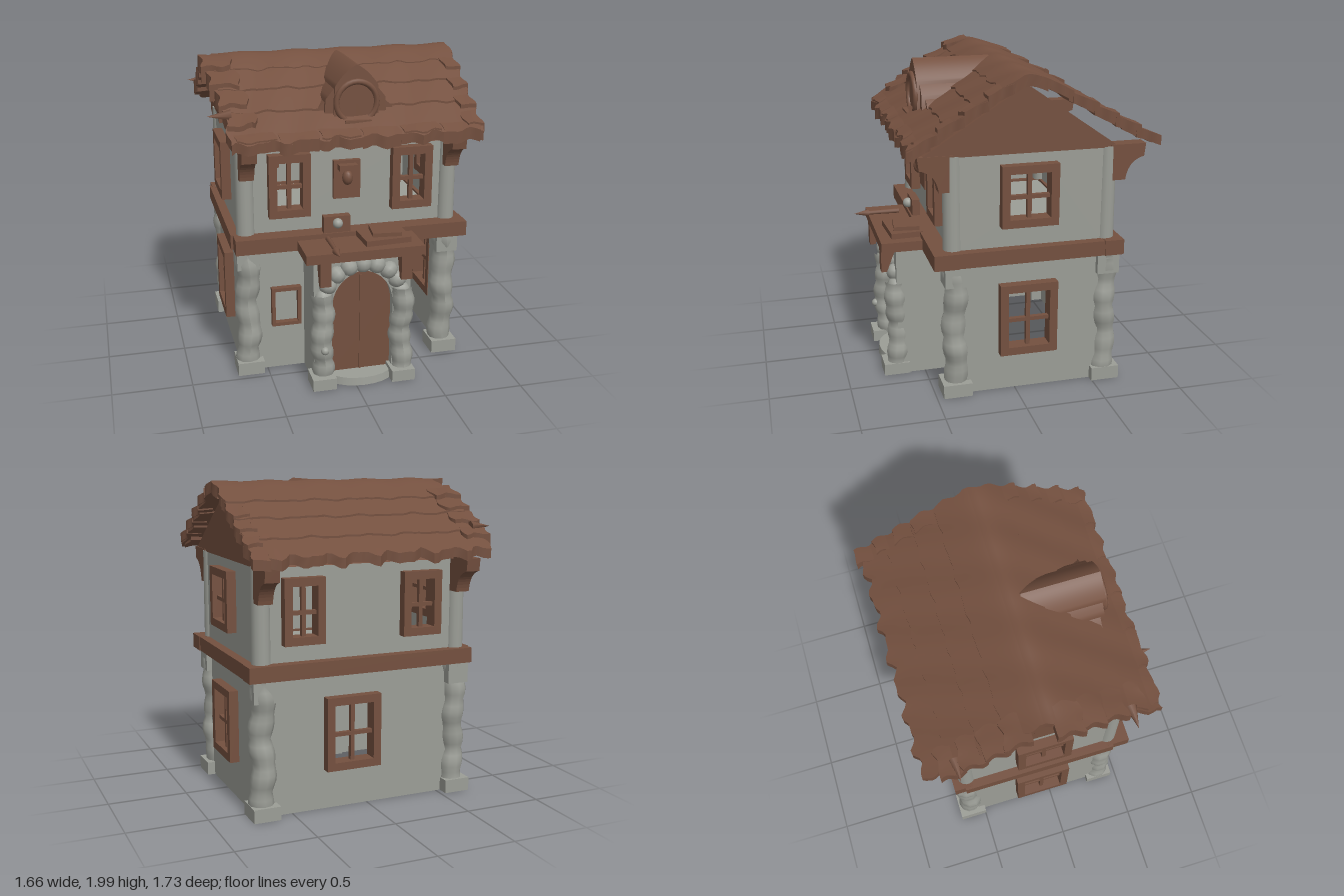
import * as THREE from 'three';
import { toCreasedNormals } from 'three/addons/utils/BufferGeometryUtils.js';

const wood = new THREE.MeshStandardMaterial({ color: 0x74503f });
wood.name = 'brown wood';
const stone = new THREE.MeshStandardMaterial({ color: 0x9b9d96 });
stone.name = 'grey stone';

const CX = 0.03, CZ = -0.09;      // centre of the house body
const RIDGE = -0.06;              // z of the roof ridge

export function createModel() {
  const model = new THREE.Group();
  model.name = 'house';

  function add(name, geo, mat, x = 0, y = 0, z = 0, parent = model) {
    const m = new THREE.Mesh(geo, mat);
    m.name = name;
    m.position.set(x, y, z);
    parent.add(m);
    return m;
  }
  const box = (name, mat, x0, x1, y0, y1, z0, z1) =>
    add(name, new THREE.BoxGeometry(x1 - x0, y1 - y0, z1 - z0), mat, (x0 + x1) / 2, (y0 + y1) / 2, (z0 + z1) / 2);
  const rect = (P, x, y, w, h) => {
    const p = new P();
    p.moveTo(x - w / 2, y - h / 2);
    p.lineTo(x + w / 2, y - h / 2);
    p.lineTo(x + w / 2, y + h / 2);
    p.lineTo(x - w / 2, y + h / 2);
    p.closePath();
    return p;
  };
  const extrude = (shape, depth) => new THREE.ExtrudeGeometry(shape, { depth, bevelEnabled: false, curveSegments: 10 });

  // Framed window with cross bars, facing local +z
  function windowUnit(parent, x, y, w, h) {
    const g = new THREE.Group();
    g.name = 'window';
    g.position.set(x, y, 0);
    const s = rect(THREE.Shape, 0, 0, w, h);
    s.holes.push(rect(THREE.Path, 0, 0, w - 0.1, h - 0.1));
    add('windowFrame', extrude(s, 0.095), wood, 0, 0, -0.035, g);
    add('windowBarUpright', new THREE.BoxGeometry(0.026, h - 0.08, 0.03), wood, 0, 0, 0.015, g);
    add('windowBarCross', new THREE.BoxGeometry(w - 0.08, 0.024, 0.03), wood, 0, -0.01, 0.015, g);
    parent.add(g);
  }
  // Wall panel with window openings; its outer face is local z = 0
  function wall(name, x, y, z, turn, w, h, windows = []) {
    const g = new THREE.Group();
    g.name = name;
    g.position.set(x, y, z);
    g.rotation.y = turn;
    const s = rect(THREE.Shape, 0, h / 2, w, h);
    for (const [wx, wy, ww, wh] of windows) {
      s.holes.push(rect(THREE.Path, wx, wy, ww - 0.08, wh - 0.08));
      windowUnit(g, wx, wy, ww, wh);
    }
    add(name + 'Panel', extrude(s, 0.03), stone, 0, 0, -0.03, g);
    model.add(g);
  }

  const Q = Math.PI / 2, small = [0.26, 0.4];
  // Upper storey
  const upPair = [[-0.38, 0.31, ...small], [0.4, 0.31, ...small]];
  wall('upperFrontWall', CX, 0.94, 0.4, 0, 1.26, 0.6, upPair);
  wall('upperBackWall', CX, 0.94, -0.6, Math.PI, 1.26, 0.6, [[-0.4, 0.31, ...small], [0.38, 0.31, ...small]]);
  // Lower storey, open to the front on one side of the door
  wall('lowerBackWall', CX, 0, -0.6, Math.PI, 1.26, 0.86, [[-0.08, 0.48, 0.36, 0.46]]);
  wall('lowerFrontWall', -0.41, 0, 0.39, 0, 0.36, 0.86);
  for (const s of [1, -1]) {
    const x = CX + s * 0.69;
    wall('upperSideWall', x, 0.94, CZ, s * Q, 0.9, 0.6, [[s * -0.015, 0.325, 0.35, 0.38]]);
    wall('lowerSideWall', x, 0, CZ, s * Q, 0.9, 0.86, [[s * -0.015, 0.48, 0.36, 0.46]]);
  }

  // Small framed pane beside the door
  const pane = rect(THREE.Shape, -0.375, 0.44, 0.19, 0.26);
  pane.holes.push(rect(THREE.Path, -0.375, 0.44, 0.145, 0.215));
  add('noticeFrame', extrude(pane, 0.06), wood, 0, 0, 0.37);

  // Timber band and floor between the storeys
  box('timberBandFront', wood, -0.7, 0.785, 0.85, 0.945, 0.36, 0.51);
  box('timberBandBack', wood, -0.7, 0.785, 0.85, 0.945, -0.67, -0.55);
  for (const s of [1, -1]) box('timberBandSide', wood, CX + s * 0.69 - 0.055, CX + s * 0.69 + 0.06, 0.851, 0.944, -0.6, 0.4);
  box('upperFloor', stone, -0.62, 0.68, 0.87, 0.93, -0.57, 0.38);

  // Rough stacked-stone column: a lathe with an uneven outline
  function roughColumn(name, x, z, y0, y1, r, seed) {
    const pts = [];
    const n = 22;
    for (let i = 0; i <= n; i++) {
      const t = i / n;
      pts.push(new THREE.Vector2(r * (0.82 + 0.2 * Math.abs(Math.sin(t * Math.PI * 5 + seed))), y0 + (y1 - y0) * t));
    }
    const geo = new THREE.LatheGeometry(pts, 10);
    const p = geo.attributes.position;
    for (let i = 0; i < p.count; i++) {
      const y = p.getY(i);
      p.setX(i, p.getX(i) + 0.009 * Math.sin(y * 17 + seed * 3));
      p.setZ(i, p.getZ(i) + 0.009 * Math.sin(y * 13 + seed * 5));
    }
    geo.computeVertexNormals();
    add(name, geo, stone, x, 0, z);
  }
  let seed = 0;
  for (const x of [-0.615, 0.685]) for (const z of [0.37, -0.585]) {
    const out = z > 0 ? 1 : -1;
    seed++;
    roughColumn('cornerColumn', x, z, 0.05, 0.86, 0.078, seed);
    box('columnBase', stone, x - 0.085, x + 0.085, 0, 0.085, z - 0.09, z + 0.09);
    box('columnCap', stone, x - 0.07, x + 0.07, 0.72, 0.85, z - 0.07, z + 0.07);
    add('upperCornerPost', new THREE.CylinderGeometry(0.056, 0.058, 0.58, 14), stone, x - 0.005, 1.23, z + 0.01);
    // Curved bracket carrying the eave
    const b = new THREE.Shape();
    b.moveTo(-0.02, 1.53);
    b.lineTo(0.2, 1.53);
    b.lineTo(0.19, 1.45);
    b.quadraticCurveTo(0.09, 1.43, 0.075, 1.31);
    b.lineTo(-0.02, 1.31);
    b.closePath();
    const geo = extrude(b, 0.09);
    geo.translate(0, 0, -0.045);
    add('eaveBracket', geo, wood, x, 0, z + out * 0.02).rotation.y = -out * Q;
  }

  // Doorway: arched porch front, side walls, uneven arch stones
  const DX = 0.055;
  const arch = (P, w, spring, top, y0) => {
    const p = new P();
    p.moveTo(-w, y0);
    p.lineTo(w, y0);
    p.lineTo(w, spring);
    p.quadraticCurveTo(w * 0.9, top - 0.04, 0, top);
    p.quadraticCurveTo(-w * 0.9, top - 0.04, -w, spring);
    p.closePath();
    return p;
  };
  const porch = rect(THREE.Shape, 0, 0.43, 0.62, 0.86);
  porch.holes.push(arch(THREE.Path, 0.195, 0.53, 0.75, 0.001));
  add('porchFront', extrude(porch, 0.07), stone, DX, 0, 0.6);
  for (const s of [1, -1]) {
    const x = DX + s * 0.255;
    box('porchSide', stone, x - 0.055, x + 0.055, 0, 0.86, 0.34, 0.64);
    roughColumn('porchColumn', x, 0.665, 0, 0.62, 0.072, s + 3);
    box('porchColumnBase', stone, x - 0.08, x + 0.07, 0, 0.075, 0.6, 0.765);
    // Bracket under the porch shelf
    const b = box('shelfBracket', wood, x - 0.035, x + 0.035, 0.7, 0.87, 0.66, 0.76);
    const p = b.geometry.attributes.position;
    for (let i = 0; i < p.count; i++) if (p.getY(i) < 0 && p.getZ(i) < 0) p.setZ(i, 0.015);
    b.geometry.computeVertexNormals();
  }
  for (let i = 0; i < 9; i++) {
    const a = Math.PI * (0.04 + 0.92 * i / 8);
    const m = add('archStone', new THREE.SphereGeometry(0.07, 10, 8), stone,
      DX + 0.25 * Math.cos(a), 0.56 + 0.235 * Math.sin(a), 0.665);
    m.scale.set(0.85, 0.8, 0.8);
    m.rotation.z = a;
  }
  add('door', extrude(arch(THREE.Shape, 0.2, 0.53, 0.755, 0.04), 0.04), wood, DX, 0, 0.58);
  box('doorSeam', wood, DX - 0.006, DX + 0.006, 0.05, 0.7, 0.615, 0.628);
  const step = add('doorStep', new THREE.CylinderGeometry(0.2, 0.21, 0.05, 20), stone, DX, 0.025, 0.63);
  step.scale.z = 0.6;
  add('stoneKnob', new THREE.SphereGeometry(0.026, 14, 10), stone, -0.2, 0.26, 0.735);

  // Porch shelf with the things lying on it
  box('porchShelf', wood, -0.32, 0.42, 0.855, 0.915, 0.48, 0.765);
  box('shelfPlank', wood, 0.06, 0.35, 0.91, 0.95, 0.5, 0.7).rotation.y = 0.06;
  box('shelfBoard', wood, 0.13, 0.31, 0.945, 0.975, 0.5, 0.66).rotation.y = -0.1;
  box('signBlock', wood, -0.15, 0.02, 0.91, 1.05, 0.45, 0.5);
  add('signBall', new THREE.SphereGeometry(0.032, 14, 10), stone, -0.065, 1.01, 0.515);
  const pole = [[0.001, 0], [0.016, 0.005], [0.013, 0.2], [0.024, 0.21], [0.001, 0.3]];
  add('pointedPeg', new THREE.LatheGeometry(pole.map(p => new THREE.Vector2(...p)), 10), wood, -0.14, 0.935, 0.56).rotation.x = Q;

  // Lamp plaque between the upper windows
  box('lampPlaque', wood, -0.07, 0.1, 1.14, 1.385, 0.39, 0.43);
  box('lampHood', wood, -0.045, 0.07, 1.33, 1.365, 0.42, 0.48);
  add('lamp', new THREE.SphereGeometry(0.034, 12, 8), wood, 0.012, 1.28, 0.45).scale.y = 1.4;

  // Gable block under the roof
  const gable = new THREE.Shape();
  gable.moveTo(-0.58, 1.515);
  gable.lineTo(0.64, 1.515);
  gable.lineTo(-RIDGE, 1.92);
  gable.closePath();
  add('gable', extrude(gable, 1.39), wood, -0.665, 0, 0).rotation.y = Q;

  // Roof courses: boxes bent over the ridge, with a ragged lower edge
  const roofY = z => 1.985 - (z > RIDGE ? 0.64 : 0.575) * (Math.sqrt((z - RIDGE) ** 2 + 0.004) - 0.063);
  const ragged = x => 0.6 * Math.sin(x * 31) + 0.4 * Math.sin(x * 53 + 1);
  function course(name, x0, x1, z0, z1, lift, thick, rag, segs = 48) {
    const geo = new THREE.BoxGeometry(1, 1, 1, segs, 1, 8);
    const p = geo.attributes.position;
    for (let i = 0; i < p.count; i++) {
      const v = p.getZ(i) + 0.5, up = p.getY(i);
      let x = x0 + (x1 - x0) * (p.getX(i) + 0.5);
      const lower = z0 + z1 > 2 * RIDGE ? v : 1 - v;
      const z = z0 + (z1 - z0) * v + Math.sign(z0 + z1 - 2 * RIDGE) * rag * ragged(x + z1) * lower ** 3;
      if (Math.abs(p.getX(i)) > 0.49) x += 0.012 * Math.sin(z * 43);
      p.setXYZ(i, x, roofY(z) + lift * lower + (up - 0.5) * thick + 0.004 * Math.sin(x * 19 + z * 9), z);
    }
    add(name, toCreasedNormals(geo, 0.7), wood);
  }
  const L = -0.73, R = 0.805;
  course('ridgeCap', L, R, -0.16, 0.12, 0.012, 0.07, 0.012);
  const back = [-0.1, -0.32, -0.48, -0.66, -0.825], front = [0.08, 0.27, 0.43, 0.645];
  for (let i = 0; i < 4; i++) course('backRoofCourse', L, R, back[i + 1], back[i] + 0.04, 0.015, 0.06, i === 3 ? 0.03 : 0.008);
  for (let i = 0; i < 3; i++) course('frontRoofCourse', L, R, front[i] - 0.04, front[i + 1], 0.015, 0.06, i === 2 ? 0.022 : 0.008);
  for (let i = 0; i < 6; i++) {
    const x = L + 0.03 + i * 0.25;
    course('eaveTile', x, x + 0.235, 0.52, 0.64 + 0.012 * (i % 2), 0.025, 0.075, 0.015, 8);
  }

  // Heavy verge tiles on one gable, thin ones on the other
  for (let i = 0; i < 4; i++) {
    const f = -0.05 + i * 0.14, b = -0.18 - i * 0.13;
    course('frontVergeTile', -0.81 + i * 0.03, -0.63 + i * 0.025, f, f + 0.17, 0.04, 0.1, 0.015, 6);
    course('backVergeTile', -0.78, -0.6, b - 0.155, b, 0.035, 0.09, 0.015, 6);
    course('thinVergeTile', 0.71, 0.81, f + 0.1, f + 0.25, 0.03, 0.06, 0.01, 4);
    course('thinVergeTile', 0.71, 0.81, b - 0.29, b - 0.13, 0.03, 0.06, 0.01, 4);
  }
  for (const z of [-0.62, 0.44]) add('vergeSpike', new THREE.ConeGeometry(0.035, 0.14, 7), wood, -0.765, roofY(z) + 0.01, z).rotation.z = Q;

  // Round dormer: nested arched hoods stepping down from the peak
  const hoods = [[0.14, 1.86, 1.985, 0.485], [0.195, 1.78, 1.93, 0.465], [0.25, 1.71, 1.86, 0.44], [0.31, 1.66, 1.76, 0.415]];
  for (const [w, side, top, z] of hoods) {
    const s = new THREE.Shape();
    s.moveTo(-w, 1.62);
    s.lineTo(w, 1.62);
    s.lineTo(w * 0.95, side);
    s.quadraticCurveTo(w * 0.5, top - 0.03, 0, top);
    s.quadraticCurveTo(-w * 0.5, top - 0.03, -w * 0.95, side);
    s.closePath();
    add('dormerHood', toCreasedNormals(extrude(s, z), 0.6), wood, DX, 0, 0);
  }
  add('dormerRing', new THREE.TorusGeometry(0.125, 0.018, 8, 28), wood, DX, 1.76, 0.49);
  add('dormerPane', new THREE.CircleGeometry(0.12, 28), wood, DX, 1.76, 0.488);
  box('dormerSill', wood, DX - 0.08, DX + 0.08, 1.625, 1.66, 0.44, 0.54);

  return model;
}
